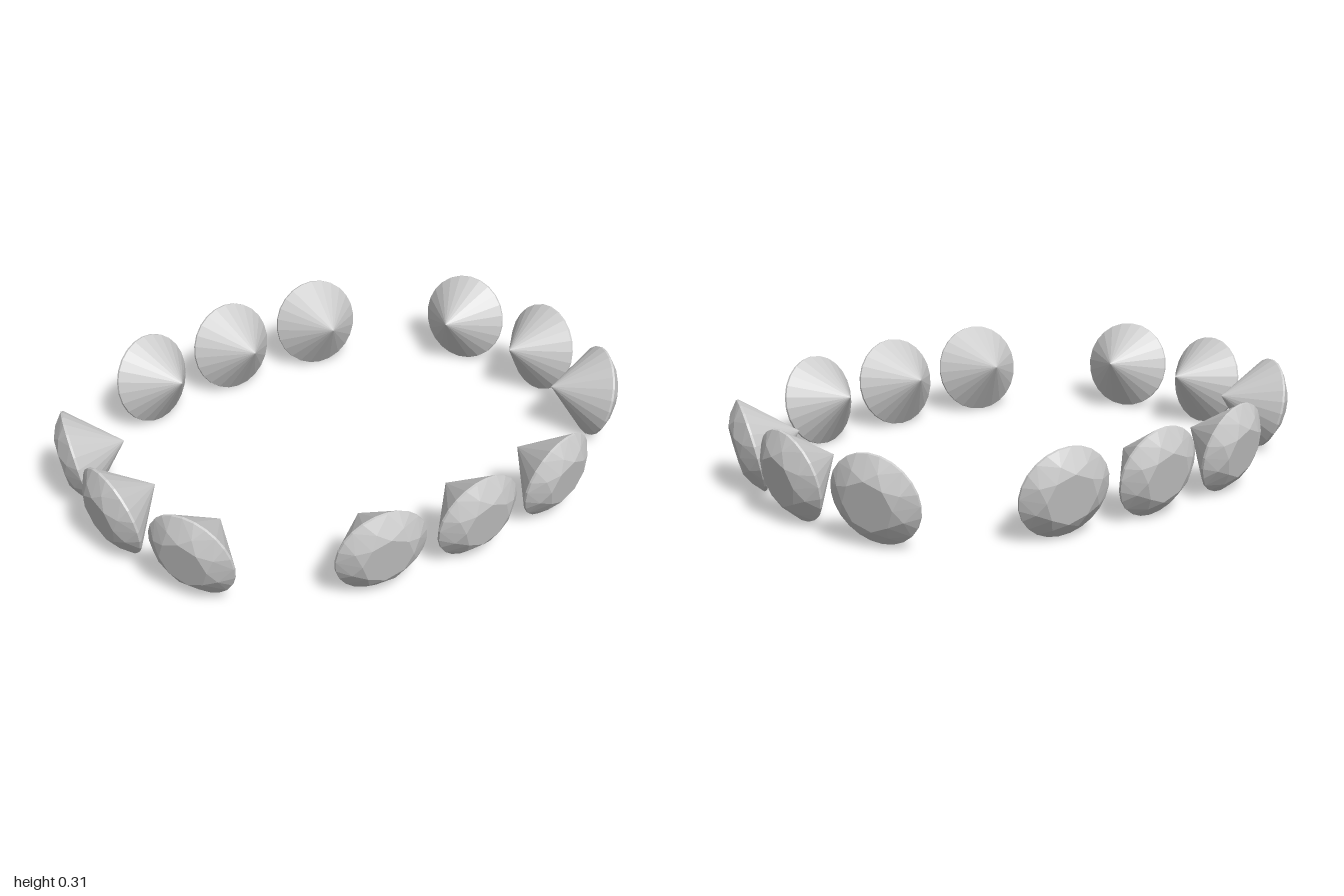
import * as THREE from 'three';

const RADIUS = 0.16, CROWN = 0.053, PAVILION = 0.168, BAND = 0.004;
const FOLD = 8, SIDES = 24;

// Brilliant-cut stone: table towards +z, point towards -z, girdle centred on the origin
function gemGeometry() {
  const pos = [];
  const at = (turn, r, z) => {
    const a = turn * Math.PI * 2;
    return [Math.sin(a) * r * RADIUS, Math.cos(a) * r * RADIUS, z];
  };
  // corners run clockwise in turn, so they are written in reverse order
  const tri = (a, b, c) => pos.push(...a, ...c, ...b);
  const table = k => at(k / FOLD, 0.56, CROWN);
  const mid = k => at((k + 0.5) / FOLD, 0.76, CROWN * 0.68);
  const upper = i => at(i / SIDES, 1, BAND);
  const lower = i => at(i / SIDES, 1, -BAND);
  const step = SIDES / FOLD;

  for (let k = 0; k < FOLD; k++) {
    tri([0, 0, CROWN], table(k), table(k + 1));      // table
    tri(table(k), mid(k), table(k + 1));             // star facet
    tri(table(k), mid(k - 1), upper(k * step));      // kite facet, two halves
    tri(table(k), upper(k * step), mid(k));
    for (let j = 0; j < step; j++)                   // upper girdle facets
      tri(mid(k), upper(k * step + j), upper(k * step + j + 1));
  }
  for (let i = 0; i < SIDES; i++) {
    tri(upper(i), lower(i), lower(i + 1));           // girdle band
    tri(upper(i), lower(i + 1), upper(i + 1));
    tri(lower(i), [0, 0, -PAVILION], lower(i + 1));  // pavilion
  }
  // the turn is clockwise seen from +z, tri() reverses it, so all faces look outwards
  for (let i = 0; i < pos.length; i += 9) fixWinding(pos, i);
  const g = new THREE.BufferGeometry();
  g.setAttribute('position', new THREE.Float32BufferAttribute(pos, 3));
  g.computeVertexNormals();
  return g;
}

// Swap two corners of a triangle that faces the inside of the convex stone
function fixWinding(p, i) {
  const [a, b, c] = [0, 3, 6].map(o => new THREE.Vector3(p[i + o], p[i + o + 1], p[i + o + 2]));
  const n = b.clone().sub(a).cross(c.clone().sub(a));
  const out = a.clone().add(b).add(c).divideScalar(3);
  out.z += 0.03;
  if (n.dot(out) < 0) p.splice(i + 3, 6, ...c.toArray(), ...b.toArray());
}

export function createModel() {
  const group = new THREE.Group();
  group.name = 'gemRing';
  const material = new THREE.MeshStandardMaterial({ color: 0xcccccc, flatShading: true });
  const geometry = gemGeometry();
  const tilt = THREE.MathUtils.degToRad(13);

  // Each stone faces outwards at the given heading and leans slightly down
  const addGem = (name, x, z, heading) => {
    const gem = new THREE.Mesh(geometry, material);
    gem.name = name;
    gem.position.set(x, 0.156, z);
    gem.rotation.set(tilt, THREE.MathUtils.degToRad(heading), 0, 'YXZ');
    group.add(gem);
  };

  const shift = -0.01; // front and back rows sit a little to one side
  addGem('frontGem', shift, 0.93, 0);
  addGem('backGem', shift, -0.93, 180);
  for (const s of [1, -1]) {
    const side = s > 0 ? 'left' : 'right';
    addGem(side + 'FrontGem', shift + s * 0.36, 0.857, s * 23);
    addGem(side + 'BackGem', shift + s * 0.36, -0.857, s * 157);
    addGem(side + 'SideGem', s * 0.715, 0, s * 90);
    addGem(side + 'SideFrontGem', s * 0.683, 0.368, s * 79);
    addGem(side + 'SideBackGem', s * 0.683, -0.368, s * 101);
  }
  return group;
}
